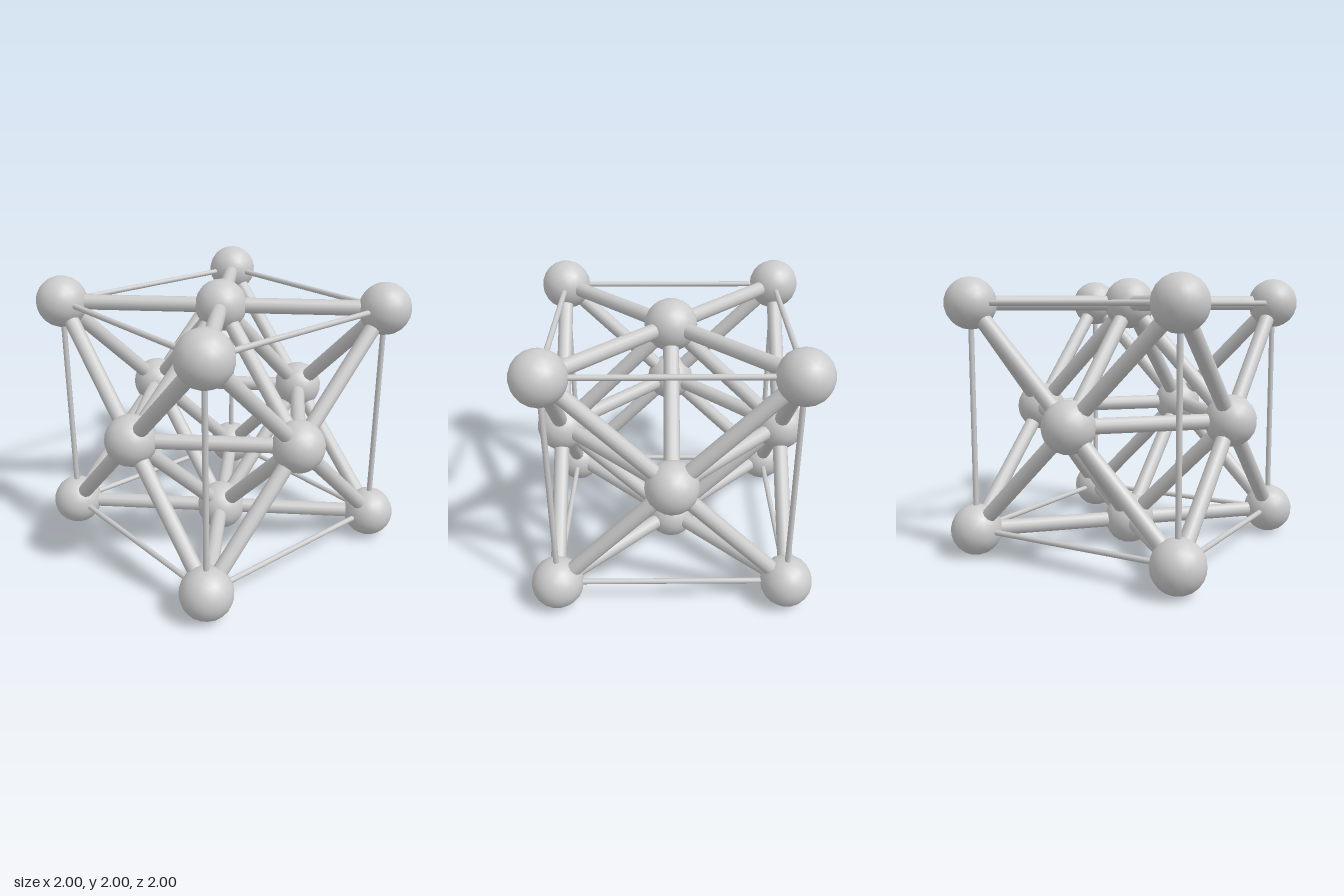
import * as THREE from 'three';

const H = 0.815;        // half distance between corner balls
const BALL_R = 0.185;
const THICK = 0.055;
const THIN = 0.02;

export function createModel() {
  const group = new THREE.Group();
  const material = new THREE.MeshStandardMaterial({ color: 0xcccccc });
  const ballGeometry = new THREE.IcosahedronGeometry(BALL_R, 3);
  const up = new THREE.Vector3(0, 1, 0);

  const addBall = (name, p) => {
    const ball = new THREE.Mesh(ballGeometry, material);
    ball.name = name;
    ball.position.copy(p);
    group.add(ball);
  };

  // Round rod running between two ball centres
  const addRod = (name, a, b, radius) => {
    const dir = b.clone().sub(a);
    const geometry = new THREE.CylinderGeometry(radius, radius, dir.length(), 12);
    const rod = new THREE.Mesh(geometry, material);
    rod.name = name;
    rod.position.copy(a).add(b).multiplyScalar(0.5);
    rod.quaternion.setFromUnitVectors(up, dir.normalize());
    group.add(rod);
  };

  // Eight cube corners and six face centres
  const corners = [];
  const faces = [];
  for (const x of [-H, H])
    for (const y of [-H, H])
      for (const z of [-H, H]) corners.push(new THREE.Vector3(x, y + 1, z));
  for (const s of [-H, H]) {
    faces.push(
      new THREE.Vector3(s, 1, 0),
      new THREE.Vector3(0, 1 + s, 0),
      new THREE.Vector3(0, 1, s)
    );
  }
  corners.forEach((p) => addBall('cornerBall', p));
  faces.forEach((p) => addBall('faceBall', p));

  // Join every pair of points that lie the given distance apart
  const connect = (name, from, to, distance, radius) => {
    from.forEach((a, i) => to.forEach((b, j) => {
      if (from === to && j <= i) return;
      if (Math.abs(a.distanceTo(b) - distance) < 0.01) addRod(name, a, b, radius);
    }));
  };
  connect('edgeRod', corners, corners, 2 * H, THIN);
  connect('faceDiagonalRod', faces, corners, H * Math.SQRT2, THICK);
  connect('innerRod', faces, faces, H * Math.SQRT2, THICK);

  return group;
}
